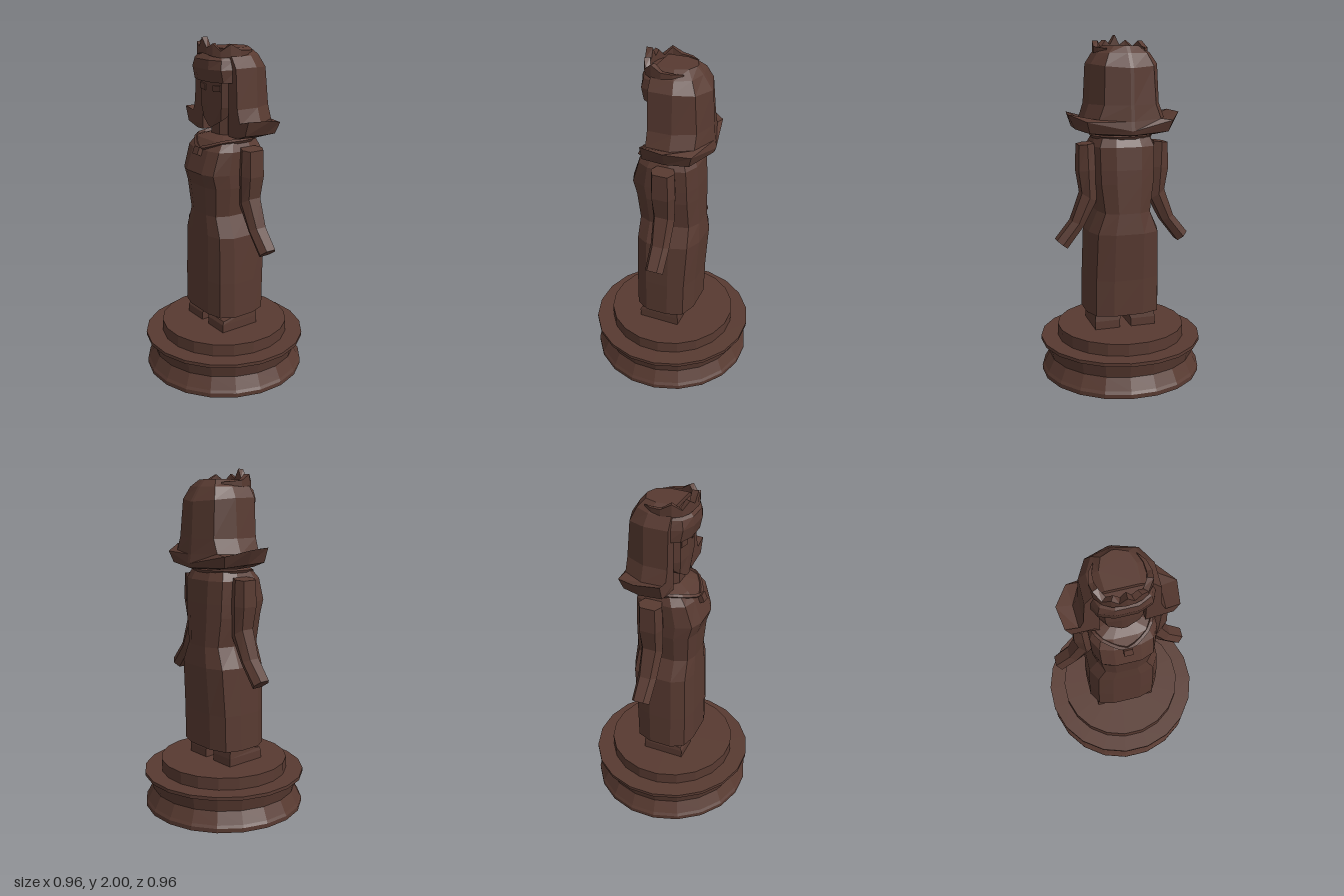
import * as THREE from 'three';

const bronze = new THREE.MeshStandardMaterial({ color: 0x583a31 });
bronze.name = 'darkBrown';

// Faceted mesh: split vertices so every face has its own normal
function part(name, geometry, parent) {
  const g = geometry.index ? geometry.toNonIndexed() : geometry;
  g.computeVertexNormals();
  const mesh = new THREE.Mesh(g, bronze);
  mesh.name = name;
  parent.add(mesh);
  return mesh;
}

// Skin between rings of [x, y, z] points (counterclockwise about the travel direction)
function loft(rings, caps = true) {
  const pos = [];
  const tri = (...p) => p.forEach((v) => pos.push(...v));
  const n = rings[0].length;
  for (let r = 0; r < rings.length - 1; r++) {
    for (let i = 0; i < n; i++) {
      const j = (i + 1) % n, lo = rings[r], hi = rings[r + 1];
      tri(lo[i], lo[j], hi[j]);
      tri(lo[i], hi[j], hi[i]);
    }
  }
  if (caps) {
    const cap = (ring, up) => {
      const flat = ring.map(([x, , z]) => new THREE.Vector2(x, -z));
      for (const [a, b, c] of THREE.ShapeUtils.triangulateShape(flat, [])) {
        up ? tri(ring[a], ring[b], ring[c]) : tri(ring[a], ring[c], ring[b]);
      }
    };
    cap(rings[0], false);
    cap(rings[rings.length - 1], true);
  }
  const g = new THREE.BufferGeometry();
  g.setAttribute('position', new THREE.Float32BufferAttribute(pos, 3));
  return g;
}

const mirror = (ring) => ring.map(([x, y, z]) => [-x, y, z]).reverse();
const sym = (half) => [...half, ...mirror(half)];
const level = (y, pts) => sym(pts.map(([x, z]) => [x, y, z]));

export function createModel() {
  const model = new THREE.Group();
  model.name = 'statuette';

  // Round pedestal
  const profile = [[0, 0], [0.48, 0], [0.48, 0.025], [0.47, 0.04], [0.435, 0.11], [0.45, 0.18],
    [0.484, 0.195], [0.484, 0.215], [0.382, 0.215], [0.382, 0.287], [0, 0.287]];
  part('pedestal', new THREE.LatheGeometry(
    profile.map(([r, y]) => new THREE.Vector2(r, y)), 20, Math.PI / 20), model);

  // Dress and shoulders: height, half width, front depth, back depth
  const body = [[0.385, 0.222, 0.18, -0.18], [0.6, 0.22, 0.18, -0.185], [0.88, 0.21, 0.175, -0.205],
    [1.0, 0.157, 0.172, -0.195], [1.17, 0.182, 0.185, -0.19], [1.25, 0.185, 0.21, -0.188],
    [1.38, 0.188, 0.165, -0.18], [1.43, 0.165, 0.12, -0.155], [1.455, 0.08, 0.06, -0.09]];
  part('dress', loft(body.map(([y, w, f, b]) => level(y, [[0.4 * w, f], [0.8 * w, 0.86 * f],
    [w, 0.45 * f], [w, 0.3 * b], [0.85 * w, 0.8 * b], [0.4 * w, b]]))), model);

  // Neck
  part('neck', loft([1.42, 1.6].map((y) =>
    level(y, [[0.04, 0.06], [0.075, 0.025], [0.075, -0.06], [0.04, -0.1]]))), model);

  // Necklace with pendant
  const chain = [[0, 1.383, 0.172], [0.06, 1.4, 0.15], [0.14, 1.43, 0.09], [0.17, 1.435, 0],
    [0.15, 1.435, -0.09], [0.07, 1.435, -0.15]];
  const loop = [...chain, ...mirror(chain.slice(1))].map((p) => new THREE.Vector3(...p));
  part('necklace', new THREE.TubeGeometry(
    new THREE.CatmullRomCurve3(loop, true), 22, 0.013, 4, true), model);
  const pendant = part('pendant', new THREE.BoxGeometry(0.05, 0.045, 0.03), model);
  pendant.position.set(0, 1.37, 0.182);
  pendant.rotation.x = -0.4;

  // Arms: inner x, y, outer x, y, front z, back z, from hand to shoulder
  const arm = [[0.34, 0.79, 0.4, 0.84, 0.015, -0.095], [0.24, 0.92, 0.31, 0.95, 0.02, -0.095],
    [0.168, 1.06, 0.25, 1.11, 0.03, -0.1], [0.165, 1.25, 0.27, 1.24, 0.037, -0.108],
    [0.18, 1.4, 0.265, 1.39, 0.035, -0.105]].map(([xi, yi, xo, yo, f, b]) => {
    const mx = (xi + xo) / 2, my = (yi + yo) / 2;
    return [[xo, yo, f - 0.025], [xo, yo, b + 0.025], [mx, my, b],
      [xi, yi, b + 0.02], [xi, yi, f - 0.02], [mx, my, f]];
  });

  // Feet, sloping down to the toes
  const foot = [
    [[0.185, 0.285, 0.14], [0.185, 0.285, -0.11], [0.035, 0.285, -0.11], [0.035, 0.285, 0.14]],
    [[0.185, 0.335, 0.14], [0.185, 0.335, -0.11], [0.035, 0.335, -0.11], [0.035, 0.335, 0.14]],
    [[0.18, 0.355, 0.13], [0.18, 0.4, -0.1], [0.005, 0.4, -0.1], [0.02, 0.355, 0.13]]];

  for (const [name, rings] of [['Arm', arm], ['Foot', foot]]) {
    part('left' + name, loft(rings), model);
    part('right' + name, loft(rings.map(mirror)), model);
  }

  // Face with a pointed chin
  const head = new THREE.Group();
  head.name = 'head';
  model.add(head);
  const face = [[0.015, 0.1], [0.1, 0.09], [0.13, 0.05], [0.13, -0.1]];
  const jaw = [[0.015, 1.5, 0.095], [0.085, 1.54, 0.082], [0.125, 1.58, 0.045], [0.125, 1.56, -0.1]];
  part('face', loft([sym(jaw), level(1.62, face), level(1.86, face)]), head);

  // Eyes and brows
  for (const s of [1, -1]) {
    const eye = part(s > 0 ? 'leftEye' : 'rightEye', new THREE.BoxGeometry(0.062, 0.034, 0.009), head);
    eye.position.set(s * 0.067, 1.722, 0.096);
    eye.rotation.set(0, s * 0.12, s * 0.1);
  }

  // Fringe over the forehead
  part('fringe', loft([
    level(1.76, [[0.06, 0.135], [0.14, 0.105], [0.175, 0.04]]),
    level(1.83, [[0.06, 0.15], [0.14, 0.12], [0.172, 0.04]]),
    level(1.88, [[0.06, 0.145], [0.13, 0.11], [0.155, 0.04]]),
    level(1.915, [[0.05, 0.11], [0.1, 0.085], [0.12, 0.04]])]), head);

  // Long hair open at the face, with the ends flipped outwards:
  // inner y, then front, side, rear and centre-back points
  const hair = [
    [1.46, [0.2, 1.455, 0.05], [0.2, 1.45, -0.07], [0.15, 1.45, -0.17], [0.01, 1.45, -0.235]],
    [1.49, [0.28, 1.485, 0.06], [0.285, 1.48, -0.07], [0.23, 1.465, -0.19], [0.01, 1.455, -0.25]],
    [1.52, [0.31, 1.57, 0.06], [0.33, 1.565, -0.08], [0.25, 1.53, -0.21], [0.01, 1.48, -0.258]],
    [1.54, [0.235, 1.535, 0.06], [0.24, 1.535, -0.08], [0.18, 1.54, -0.2], [0.01, 1.53, -0.25]],
    [1.62, [0.208, 1.62, 0.06], [0.208, 1.62, -0.08], [0.15, 1.62, -0.2], [0.01, 1.62, -0.243]],
    [1.84, [0.195, 1.84, 0.06], [0.195, 1.84, -0.08], [0.14, 1.83, -0.185], [0.01, 1.82, -0.232]]];
  part('longHair', loft(hair.map(([y, ...outer]) =>
    sym([[0.115, y, -0.08], [0.125, y, 0.06], ...outer]))), head);

  // Crown of the head
  part('hairTop', loft([
    sym(hair[5].slice(1)),
    level(1.9, [[0.155, 0.06], [0.155, -0.07], [0.11, -0.155], [0.01, -0.18]]),
    level(1.94, [[0.09, 0.06], [0.095, -0.05], [0.07, -0.12], [0.01, -0.145]])]), head);

  // Tiara: x, z, top height, bottom height, inner scale
  const tiara = [[0.11, -0.11, 1.925, 1.915, 0.99], [0.145, -0.06, 1.93, 1.905, 0.88],
    [0.158, 0, 1.935, 1.9, 0.82], [0.15, 0.06, 1.968, 1.895, 0.8], [0.115, 0.105, 1.93, 1.895, 0.8],
    [0.075, 0.13, 1.97, 1.9, 0.78], [0.037, 0.142, 1.945, 1.91, 0.76], [0, 0.148, 2, 1.915, 0.75]];
  const arc = [...tiara, ...tiara.slice(0, -1).reverse().map(([x, ...rest]) => [-x, ...rest])];
  part('tiara', loft(arc.map(([x, z, top, low, k]) =>
    [[x, low, z], [x, top, z], [x * k, top, z * k], [x * k, low, z * k]]), false), head);

  return model;
}
